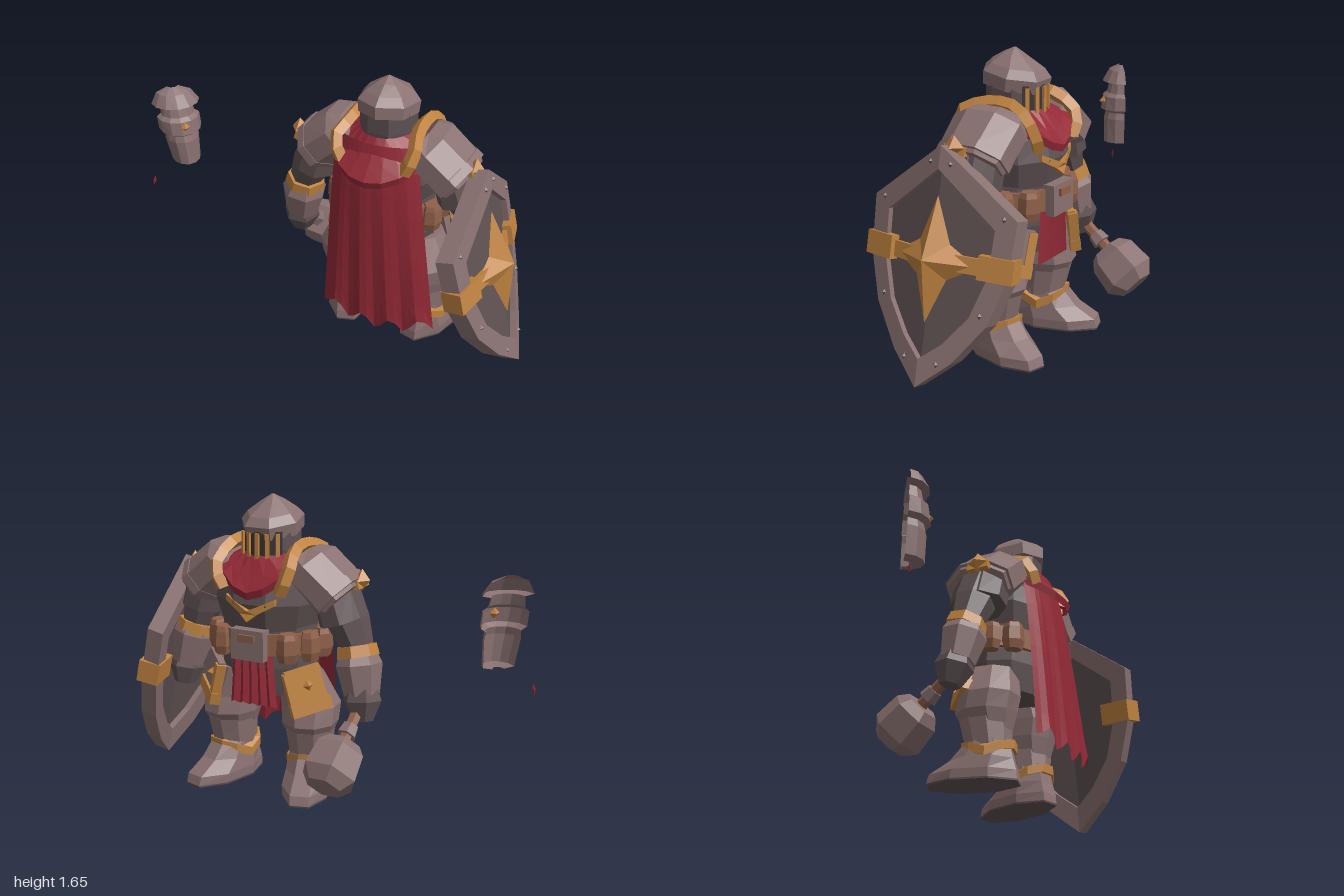
import * as THREE from 'three';

const mat = (name, color, double) => {
  const m = new THREE.MeshStandardMaterial({ color });
  m.name = name;
  if (double) m.side = THREE.DoubleSide;
  return m;
};

// faceted normals
function flat(geo) {
  const g = geo.index ? geo.toNonIndexed() : geo;
  g.computeVertexNormals();
  return g;
}

// move every vertex by a rule
function warp(geo, rule) {
  const p = geo.attributes.position, v = new THREE.Vector3();
  for (let i = 0; i < p.count; i++) {
    v.fromBufferAttribute(p, i);
    rule(v, i);
    p.setXYZ(i, v.x, v.y, v.z);
  }
  return geo;
}

// closed solid from oval sections [y, rx, rz, cx, cz], listed bottom to top
function loft(sections, n = 8) {
  const pos = [], idx = [];
  for (const [y, rx, rz, cx = 0, cz = 0] of sections)
    for (let i = 0; i < n; i++) {
      const a = (i + 0.5) / n * Math.PI * 2;
      pos.push(cx + rx * Math.sin(a), y, cz + rz * Math.cos(a));
    }
  const last = sections.length - 1;
  for (let j = 0; j < last; j++)
    for (let i = 0; i < n; i++) {
      const a = j * n + i, b = j * n + (i + 1) % n;
      idx.push(a, b, b + n, a, b + n, a + n);
    }
  for (let i = 1; i < n - 1; i++)
    idx.push(0, i + 1, i, last * n, last * n + i, last * n + i + 1);
  const g = new THREE.BufferGeometry();
  g.setAttribute('position', new THREE.Float32BufferAttribute(pos, 3));
  g.setIndex(idx);
  return g;
}

export function createModel() {
  const steel = mat('steel', 0x8a7271), dark = mat('dark steel', 0x5e5152);
  const gold = mat('gold', 0xc08340, true), red = mat('red cloth', 0x932936, true);
  const leather = mat('leather', 0x8f6048), black = mat('shadow black', 0x3a3436);
  const shell = mat('steel shell', 0x8a7271, true);

  const root = new THREE.Group();
  const group = (name, parent, pos, rot = [0, 0, 0]) => {
    const g = new THREE.Group();
    g.name = name;
    g.position.set(...pos);
    g.rotation.set(...rot);
    parent.add(g);
    return g;
  };
  const knight = group('knight', root, [0.26, 0, -0.02], [0, 2.45, 0]);

  const add = (parent, name, geo, m, pos = [0, 0, 0], rot = [0, 0, 0]) => {
    const mesh = new THREE.Mesh(flat(geo), m);
    mesh.name = name;
    mesh.position.set(...pos);
    mesh.rotation.set(...rot);
    parent.add(mesh);
    return mesh;
  };
  const box = (w, h, d) => new THREE.BoxGeometry(w, h, d);
  // solid whose local y axis runs from p to q, given radii along the way
  const limb = (name, m, p, q, radii, n = 7) => {
    const a = new THREE.Vector3(...p), d = new THREE.Vector3(...q).sub(a), len = d.length();
    const mesh = add(knight, name, loft(radii.map(([t, r]) => [t * len, r, r]), n), m, p);
    mesh.quaternion.setFromUnitVectors(new THREE.Vector3(0, 1, 0), d.normalize());
  };

  // torso
  add(knight, 'waist', loft([[0.56, 0.25, 0.19], [0.72, 0.29, 0.22], [0.95, 0.28, 0.22]], 10), dark);
  add(knight, 'breastplate', loft([[0.92, 0.27, 0.22], [1.08, 0.32, 0.26], [1.2, 0.3, 0.23], [1.3, 0.18, 0.16]], 10), dark);
  const chevron = new THREE.Shape([[-0.15, 1.12], [0, 1.05], [0.15, 1.12], [0.15, 1.085], [0.05, 1.03], [0, 0.99], [-0.05, 1.03], [-0.15, 1.085]]
    .map(p => new THREE.Vector2(...p)));
  add(knight, 'chestTrim', warp(new THREE.ExtrudeGeometry(chevron, { depth: 0.04, bevelEnabled: false }),
    v => { v.z += 0.235 - 0.3 * Math.abs(v.x); }), gold);

  // belt, buckle and pouches
  add(knight, 'belt', loft([[0.8, 0.31, 0.24], [0.92, 0.31, 0.24]], 12), leather);
  add(knight, 'buckle', box(0.2, 0.17, 0.07), steel, [0, 0.86, 0.24]);
  add(knight, 'buckleBar', box(0.1, 0.04, 0.02), leather, [0, 0.9, 0.28]);
  for (const a of [-1.9, -1.25, -0.72, 0.72, 1.2, 1.7, 2.2])
    add(knight, 'pouch', loft([[-0.08, 0.05, 0.04], [-0.03, 0.065, 0.055], [0.05, 0.06, 0.05], [0.08, 0.05, 0.04]], 6),
      leather, [0.31 * Math.sin(a), 0.85, 0.25 * Math.cos(a)], [0, a, 0]);

  // loincloth with folds
  add(knight, 'loincloth', warp(new THREE.PlaneGeometry(1, 1, 10, 3), (v, i) => {
    const t = 0.5 - v.y, k = i % 11;
    v.set(v.x * (0.24 + 0.05 * t), 0.8 - 0.3 * t + (t > 0.9 && k % 2 ? 0.02 : 0), 0.205 + (k % 2 ? 0.025 : 0));
  }), red);

  // cape: flared, bowed, softly folded, with a ragged hem
  add(knight, 'cape', warp(new THREE.PlaneGeometry(1, 1, 16, 8), (v, i) => {
    const t = 0.5 - v.y, u = v.x, k = i % 17;
    const hem = t > 0.95 ? [0, 0.06, 0.08, 0.03][k % 4] - 0.06 * (1 - 4 * u * u) : 0;
    v.set(u * (0.48 + 0.2 * t) - 0.07 * t, 1.32 - 1.08 * t + hem,
      -0.24 - 0.12 * Math.sqrt(t) + 0.3 * u * u * (1 - 0.3 * t) + 0.01 * t * Math.cos(k * 1.6));
  }), red);
  // cowl drooping to a point at the chest and broadly at the back
  add(knight, 'cowl', warp(new THREE.LatheGeometry([[0.28, 1.2], [0.29, 1.25], [0.24, 1.3], [0.15, 1.34]]
    .map(p => new THREE.Vector2(...p)), 20), v => {
    const r = Math.hypot(v.x, v.z), c = Math.abs(v.z / r), back = v.z < 0;
    v.y -= Math.max(0, (r - 0.15) / 0.14) * 0.13 * c ** (back ? 1.6 : 5) - (v.y < 1.28 ? 0.03 : 0);
    v.z *= back ? 1.2 : 1;
    v.x *= back ? 1 + 0.06 * c : 1;
    v.z -= 0.015;
  }), red);

  // helmet with visor and pointed crown
  const helmet = group('helmet', knight, [0, 0, -0.025]);
  add(helmet, 'helmetBody', loft([[1.24, 0.14, 0.15], [1.35, 0.158, 0.165], [1.48, 0.155, 0.165]]), dark);
  add(helmet, 'visor', new THREE.CylinderGeometry(0.163, 0.163, 0.14, 8, 1, true, -0.85, 1.7), black, [0, 1.39, 0.005]);
  for (let i = -2; i <= 2; i++)
    add(helmet, 'visorBar', box(0.022, 0.16, 0.025), gold, [0.163 * Math.sin(i * 0.34), 1.37, 0.168 * Math.cos(i * 0.34)], [0, i * 0.34, 0]);
  add(helmet, 'visorChin', loft([[1.26, 0.155, 0.165], [1.31, 0.165, 0.175]]), dark);
  add(helmet, 'helmetCrown', loft([[-0.07, 0.166, 0.185], [0.0, 0.172, 0.195], [0.045, 0.135, 0.155], [0.095, 0.065, 0.07, 0, -0.02], [0.13, 0.008, 0.008, 0, -0.025]], 7),
    steel, [0, 1.505, 0], [0.14, 0, 0]);

  // mirrored armour and legs
  for (const s of [1, -1]) {
    // shoulder armour slopes outward and down
    const slope = [0, 0, -s * 2.29];
    add(knight, 'shoulderPlate', loft([[-0.17, 0.09, 0.18], [-0.1, 0.145, 0.22], [0.1, 0.15, 0.21], [0.15, 0.13, 0.19]]),
      steel, [s * 0.33, 1.2, -0.02], slope);
    add(knight, 'shoulderRim', loft([[0, 0.155, 0.215], [0.05, 0.155, 0.215]]), steel, [s * 0.39, 1.15, -0.02], slope);
    add(knight, 'lowerShoulderPlate', loft([[-0.1, 0.13, 0.17], [0.08, 0.12, 0.17]]), dark, [s * 0.41, 1.08, -0.02], [0, 0, s * 0.3]);
    const arch = new THREE.CatmullRomCurve3([[0.17, 1.15, 0.22], [0.22, 1.26, 0.22], [0.2, 1.365, 0.1], [0.2, 1.365, -0.1], [0.23, 1.3, -0.23], [0.18, 1.19, -0.25]]
      .map(([x, y, z]) => new THREE.Vector3(s * x, y, z)));
    add(knight, 'shoulderTrim', new THREE.TubeGeometry(arch, 10, 0.04, 4), gold);
    add(knight, 'shoulderStud', warp(new THREE.OctahedronGeometry(0.06), v => { v.x *= 0.8; }), gold, [s * 0.525, 1.21, -0.06]);
    add(knight, 'shoulderStudBase', box(0.03, 0.05, 0.13), gold, [s * 0.515, 1.19, -0.06], [0, 0, s * 0.3]);

    // hip plate edged at the bottom and inner side
    const tasset = group('tasset', knight, [s * 0.29, 0.62, 0.14], [-0.2, s * 0.75, s * 0.35]);
    add(tasset, 'tassetPlate', box(0.2, 0.24, 0.04), s > 0 ? gold : steel);
    add(tasset, 'tassetHem', box(0.23, 0.07, 0.06), gold, [0, -0.1, 0.005]);
    add(tasset, 'tassetEdge', box(0.045, 0.22, 0.055), gold, [-s * 0.09, 0, 0.005]);
    add(tasset, 'tassetStud', new THREE.OctahedronGeometry(0.03), gold, [0.01, 0.02, 0.02]);

    const leg = group('leg', knight, [s * 0.245, 0, 0], [0, s * 0.28, 0]);
    add(leg, 'thigh', loft([[0.3, 0.12, 0.13], [0.4, 0.16, 0.175, 0, 0.02], [0.5, 0.17, 0.175], [0.68, 0.13, 0.15, -s * 0.06]], 9), steel);
    add(leg, 'kneePlate', loft([[0.2, 0.12, 0.13], [0.28, 0.13, 0.14, 0, 0.01], [0.36, 0.14, 0.15, 0, 0.02]], 9), steel);
    add(leg, 'shinTrim', warp(loft([[0.155, 0.138, 0.155], [0.205, 0.14, 0.157]], 10),
      v => { v.y += 0.06 * Math.abs(v.z / 0.15) - 0.03; }), gold);
    add(leg, 'boot', loft([[0.01, 0.135, 0.27, 0, 0.085], [0.06, 0.14, 0.26, 0, 0.08], [0.13, 0.13, 0.19, 0, 0.035], [0.24, 0.115, 0.13]]), steel);
    add(leg, 'sole', loft([[0, 0.135, 0.27, 0, 0.085], [0.01, 0.136, 0.272, 0, 0.085]]), dark);
  }

  // mace arm
  limb('upperArm', dark, [0.38, 1.18, -0.02], [0.53, 0.85, 0], [[0, 0.12], [0.6, 0.12], [1, 0.09]]);
  limb('elbowCuff', gold, [0.52, 0.86, 0], [0.535, 0.8, 0.01], [[0, 0.112], [1, 0.12]]);
  limb('forearm', steel, [0.53, 0.83, 0], [0.57, 0.6, 0.03], [[0, 0.1], [0.3, 0.13], [1, 0.1]]);
  limb('fist', dark, [0.57, 0.64, 0.03], [0.59, 0.46, 0.06], [[0, 0.09], [0.4, 0.11], [1, 0.06]], 6);
  limb('maceHandle', leather, [0.58, 0.62, -0.04], [0.557, 0.3, 0.36], [[0, 0.034], [1, 0.034]], 6);
  limb('maceCollar', steel, [0.57, 0.46, 0.16], [0.565, 0.42, 0.21], [[0, 0.045], [1, 0.055]], 6);
  limb('maceHead', steel, [0.563, 0.385, 0.24], [0.55, 0.21, 0.45], [[0, 0.1], [0.2, 0.145], [0.75, 0.16], [1, 0.1]], 6);

  // shield arm
  limb('upperArm', dark, [-0.38, 1.18, -0.02], [-0.47, 0.88, 0.02], [[0, 0.12], [0.6, 0.12], [1, 0.09]]);
  limb('elbowCuff', gold, [-0.465, 0.88, 0.02], [-0.48, 0.82, 0.03], [[0, 0.112], [1, 0.117]]);
  limb('forearm', steel, [-0.47, 0.88, 0.02], [-0.52, 0.64, 0.06], [[0, 0.1], [0.3, 0.12], [1, 0.09]]);
  limb('fist', dark, [-0.52, 0.68, 0.05], [-0.53, 0.52, 0.08], [[0, 0.08], [0.4, 0.1], [1, 0.06]], 6);

  // shield: two halves folded back from a centre ridge
  const shield = group('shield', knight, [-0.575, 0.9, -0.085]);
  shield.rotation.set(-0.215, -Math.PI / 2, 0, 'YXZ');
  const outer = [[0, 0.32], [0.44, 0], [0.425, -0.3], [0.34, -0.55], [0.18, -0.77], [0, -0.93]];
  const inner = [[0, 0.2], [0.33, -0.06], [0.32, -0.3], [0.245, -0.52], [0.12, -0.68], [0, -0.78]];
  const panel = (pts, s, depth, front) => warp(new THREE.ExtrudeGeometry(
    new THREE.Shape(pts.map(([x, y]) => new THREE.Vector2(s * x, y))), { depth, bevelEnabled: false }),
    v => { v.z += front - depth - 0.21 * Math.abs(v.x); });
  for (const s of [1, -1]) {
    add(shield, 'shieldRim', panel([...outer, ...[...inner].reverse()], s, 0.1, 0.1), steel);
    add(shield, 'shieldFace', panel(inner, s, 0.03, 0.065), dark);
    add(shield, 'shieldClip', box(0.19, 0.125, 0.125), gold, [s * 0.35, -0.255, -0.02], [0, s * 0.21, 0]);
    add(shield, 'shieldBand', box(0.2, 0.085, 0.03), gold, [s * 0.19, -0.26, 0.035], [0, s * 0.21, 0]);
    for (const [x, y] of [[0.06, 0.23], [0.37, 0.0], [0.3, -0.5], [0.1, -0.79]])
      add(shield, 'rivet', new THREE.OctahedronGeometry(0.016), dark, [s * x, y, 0.1 - 0.21 * x]);
  }
  add(shield, 'shieldStar', warp(new THREE.CircleGeometry(1, 8), (v, i) => {
    if (i === 0) { v.z = 0.16; return; }
    const k = (i - 1) % 4;
    v.multiplyScalar(k === 0 ? 0.25 : k === 2 ? 0.33 : 0.13);
    v.z = 0.075 - 0.2 * Math.abs(v.x);
  }), gold, [0, -0.265, 0]);

  // loose half gauntlet, cut open at the back
  const loose = group('looseGauntlet', root, [-0.81, 0, -0.8]);
  const half = [[0.03, 0.82], [0.085, 0.83], [0.1, 0.98], [0.095, 1.02], [0.125, 1.04], [0.125, 1.12], [0.1, 1.14],
    [0.09, 1.2], [0.14, 1.21], [0.1, 1.28], [0.03, 1.31]].map(p => new THREE.Vector2(...p));
  add(loose, 'gauntletShell', warp(new THREE.LatheGeometry(half, 6, -Math.PI / 2, Math.PI), v => {
    v.x -= 0.1 * (v.y - 1.1);
    v.z *= 1.15 - 1.2 * (v.y - 0.95);
  }), shell);
  add(loose, 'gauntletStud', new THREE.OctahedronGeometry(0.03), gold, [0.02, 1.09, 0.115]);
  add(root, 'clothScrap', warp(new THREE.OctahedronGeometry(0.035), v => { v.x *= 0.3; v.z *= 0.2; }),
    red, [-0.988, 0.69, -0.79], [0, 0, -0.2]);
  return root;
}
